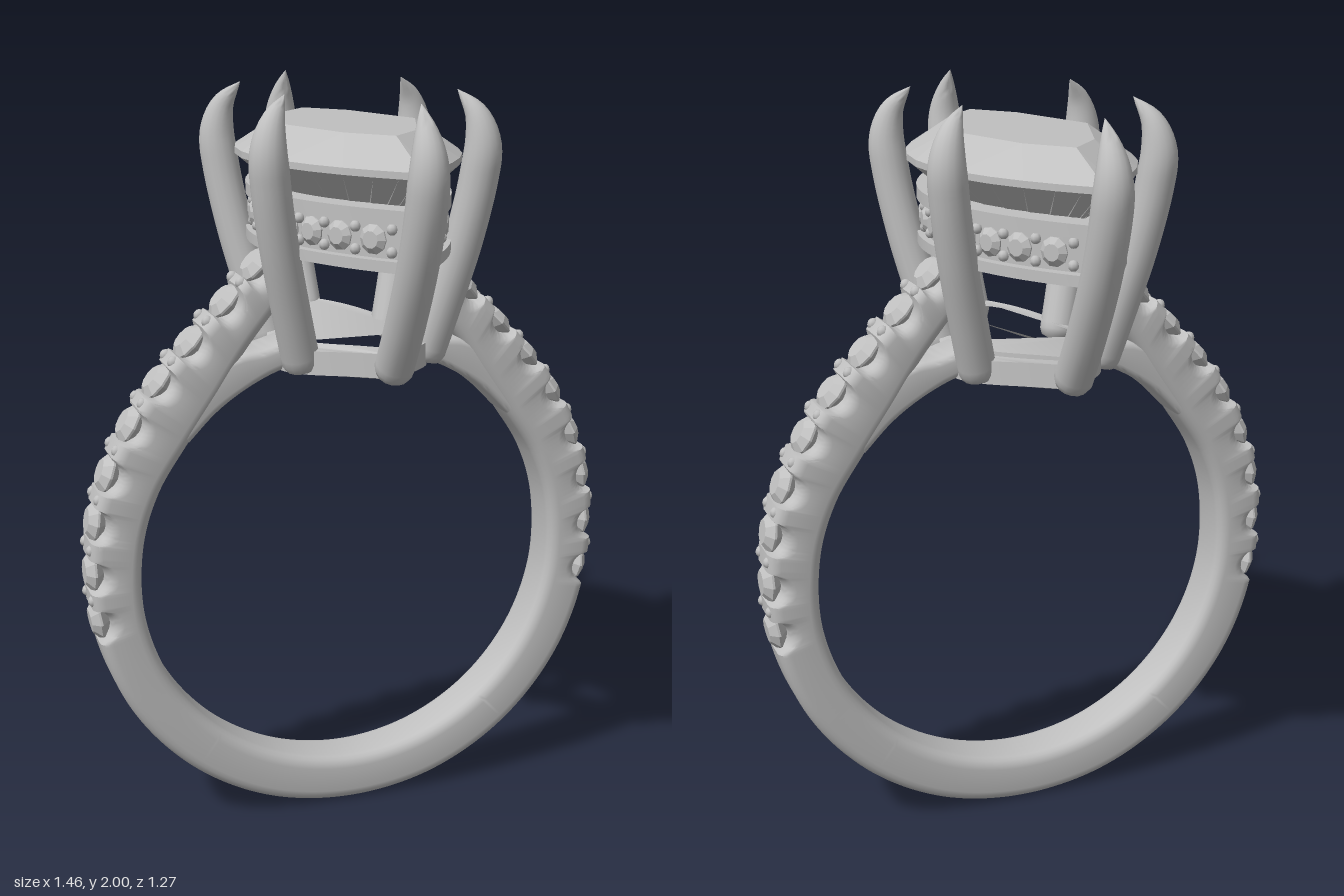
import * as THREE from 'three';
import { toCreasedNormals } from 'three/addons/utils/BufferGeometryUtils.js';

const V = (x, y, z = 0) => new THREE.Vector3(x, y, z);
const CY = 0.725, R_IN = 0.588; // finger hole

function fromTriangles(pos, idx, crease) {
  const g = new THREE.BufferGeometry();
  g.setAttribute('position', new THREE.Float32BufferAttribute(pos, 3));
  g.setIndex(idx);
  return toCreasedNormals(g, crease);
}

// Rounded-rectangle bar swept between an inner and an outer path, with scalloped stone seats
function sweepBar(inner, outer, halfWidth, corner, steps, seats = []) {
  const pos = [], idx = [], n = 20;
  for (let i = -1; i <= steps + 1; i++) {
    const t = Math.min(Math.max(i / steps, 0), 1);
    const shrink = i < 0 || i > steps ? 0 : 1;
    const p = inner.getPoint(t), q = outer.getPoint(t);
    const dir = q.clone().sub(p).normalize();
    let cut = 0;
    for (const s of seats) {
      const d = q.distanceTo(s);
      if (d < 0.046) cut = Math.max(cut, 0.9 * Math.sqrt(0.046 ** 2 - d * d));
    }
    q.addScaledVector(dir, -cut);
    const mid = p.clone().add(q).multiplyScalar(0.5), h = p.distanceTo(q) / 2;
    const r = Math.min(corner, h * 0.95);
    for (let j = 0; j < n; j++) {
      const c = Math.floor(j / 5), a = (c + (j % 5) / 4) * Math.PI / 2;
      const su = c === 0 || c === 3 ? 1 : -1, sz = c < 2 ? 1 : -1;
      const u = (su * (h - r) + r * Math.cos(a)) * shrink;
      const z = (sz * (halfWidth - r) + r * Math.sin(a)) * shrink;
      pos.push(mid.x + dir.x * u, mid.y + dir.y * u, z);
    }
  }
  for (let i = 0; i < steps + 2; i++) for (let j = 0; j < n; j++) {
    const a = i * n + j, b = i * n + (j + 1) % n;
    idx.push(a, a + n, b, b, a + n, b + n);
  }
  return fromTriangles(pos, idx, 0.6);
}

// Pointed-oval outline: t = 0 is the front tip
const marquise = (a, L, t) => [a * Math.sin(t) * Math.abs(Math.sin(t)), L * Math.cos(t)];

function marquiseBand(a, L, wa, wL, y, height) {
  const outline = (aa, LL) => Array.from({ length: 64 }, (_, i) =>
    new THREE.Vector2(...marquise(aa, LL, i / 64 * Math.PI * 2)));
  const shape = new THREE.Shape(outline(a, L));
  shape.holes.push(new THREE.Path(outline(a - wa, L - wL)));
  const g = new THREE.ExtrudeGeometry(shape, { depth: height, bevelEnabled: false });
  g.rotateX(-Math.PI / 2).translate(0, y, 0);
  return g;
}

// Tapered claw following a curve, closed at both ends
function clawGeometry(points) {
  const curve = new THREE.CatmullRomCurve3(points), rings = 44, sides = 16;
  const g = new THREE.TubeGeometry(curve, rings, 1, sides);
  const p = g.attributes.position, v = V(0, 0);
  for (let i = 0; i <= rings; i++) {
    const u = i / rings, c = curve.getPointAt(u), k = Math.max(0, (u - 0.72) / 0.28);
    const r = (i === 0 ? 0 : i === 1 ? 0.043 : 0.05) * (1 - k ** 2);
    for (let j = 0; j <= sides; j++) {
      const m = i * (sides + 1) + j;
      v.fromBufferAttribute(p, m).sub(c).multiplyScalar(r).add(c);
      p.setXYZ(m, v.x, v.y, v.z);
    }
  }
  return toCreasedNormals(g, 0.9);
}

// Large faceted stone: table, crown, girdle and keeled pavilion
function centreStoneGeometry() {
  const N = 32, pos = [], TAU = Math.PI * 2;
  const ring = (a, L, y, i, n) => {
    const [x, z] = marquise(a, L, i / n * TAU);
    return V(x, y, z);
  };
  const tri = (...p) => p.forEach(v => pos.push(v.x, v.y, v.z));
  const top = i => ring(0.28, 0.54, 1.842, i, N), low = i => ring(0.28, 0.54, 1.825, i, N);
  const table = k => ring(0.19, 0.37, 1.91, k, 8);
  const keel = i => V(0, 1.6, low(i).z * 0.35);
  for (let k = 0; k < 8; k++) {
    tri(V(0, 1.91, 0), table(k), table(k + 1));
    tri(table(k), top(4 * k + 2), table(k + 1));
    for (let m = -2; m < 2; m++) tri(top(4 * k + m), top(4 * k + m + 1), table(k));
  }
  for (let i = 0; i < N; i++) {
    tri(low(i), low(i + 1), top(i));
    tri(low(i + 1), top(i + 1), top(i));
    tri(low(i + 1), low(i), keel(i));
    tri(low(i + 1), keel(i), keel(i + 1));
  }
  const g = new THREE.BufferGeometry();
  g.setAttribute('position', new THREE.Float32BufferAttribute(pos, 3));
  g.computeVertexNormals();
  return g;
}

function smallStoneGeometry(r) {
  const profile = [[0, -0.85], [1, -0.1], [1, 0], [0.58, 0.35], [0, 0.35]];
  return toCreasedNormals(new THREE.LatheGeometry(
    profile.map(([x, y]) => new THREE.Vector2(x * r, y * r)), 10), 0.1);
}

export function createModel() {
  const model = new THREE.Group();
  const silver = new THREE.MeshStandardMaterial({ color: 0xc0c0c0 });
  const add = (name, geo, parent = model) => {
    const m = new THREE.Mesh(geo, silver);
    m.name = name;
    parent.add(m);
    return m;
  };
  const group = name => {
    const g = new THREE.Group();
    g.name = name;
    model.add(g);
    return g;
  };
  const polar = (deg, r) => V(r * Math.cos(deg * Math.PI / 180), CY + r * Math.sin(deg * Math.PI / 180));
  const flip = pts => pts.map(p => V(-p.x, p.y, p.z)).reverse();
  const spline = pts => new THREE.CatmullRomCurve3(pts);

  // Shank with rising shoulders
  const low = [-70, -50, -30, -10];
  const inR = [...low.map(d => polar(d, R_IN)), polar(10, R_IN), polar(25, R_IN), polar(40, R_IN),
    V(0.37, 1.22), V(0.29, 1.34), V(0.16, 1.5)];
  const outR = [...low.map(d => polar(d, 0.722)), V(0.718, 0.87), V(0.675, 1.03), V(0.585, 1.2),
    V(0.475, 1.335), V(0.36, 1.455), V(0.215, 1.61)];
  const inner = spline([...flip(inR), polar(-90, R_IN), ...inR]);
  const outer = spline([...flip(outR), polar(-90, 0.72), ...outR]);

  // Stone seats along both shoulders
  const seats = [];
  for (const y of [0.62, 0.76, 0.9, 1.03, 1.16, 1.27, 1.37, 1.47, 1.56]) {
    let t = 0.6;
    while (t < 1 && outer.getPoint(t).y < y) t += 0.0005;
    const p = outer.getPoint(t), tan = outer.getTangent(t);
    for (const s of [1, -1]) seats.push({ p: V(s * p.x, p.y), n: V(s * tan.y, -tan.x) });
  }
  add('shank', sweepBar(inner, outer, 0.075, 0.032, 640, seats.map(s => s.p)));

  const shankStones = group('shankStones'), stone = smallStoneGeometry(0.058);
  const beads = group('shankBeads'), bead = new THREE.SphereGeometry(0.016, 8, 6);
  const up = V(0, 1, 0);
  seats.forEach(({ p, n }, i) => {
    const m = add('shankStone', stone, shankStones);
    m.position.copy(p).addScaledVector(n, -0.014);
    m.quaternion.setFromUnitVectors(up, n);
    if (i + 2 >= seats.length) return;
    const mid = p.clone().add(seats[i + 2].p).multiplyScalar(0.5).addScaledVector(n, -0.004);
    for (const z of [-0.042, 0.042]) add('shankBead', bead, beads).position.set(mid.x, mid.y, z);
  });

  // Lower arms running along the finger hole to the base rail
  const armIn = [40, 50, 58, 66, 72].map(d => polar(d, R_IN));
  const armOut = [V(0.5, 1.2), V(0.42, 1.27), V(0.315, 1.325), V(0.25, 1.335), V(0.18, 1.355)];
  add('leftLowerArm', sweepBar(spline(armIn), spline(armOut), 0.07, 0.02, 24));
  add('rightLowerArm', sweepBar(spline(flip(armIn)), spline(flip(armOut)), 0.07, 0.02, 24));

  // Base rail, bent over the finger hole
  const base = marquiseBand(0.205, 0.38, 0.05, 0.09, 1.313, 0.062);
  const bp = base.attributes.position;
  for (let i = 0; i < bp.count; i++)
    bp.setY(i, bp.getY(i) + Math.sqrt(R_IN ** 2 - bp.getX(i) ** 2) - R_IN);
  add('baseRail', toCreasedNormals(base, 0.6));

  // Gallery: two rails and a recessed band set with small stones
  const A = 0.25, L = 0.53;
  add('lowerGalleryRail', toCreasedNormals(marquiseBand(A, L, 0.06, 0.12, 1.6, 0.028), 0.6));
  add('upperGalleryRail', toCreasedNormals(marquiseBand(A, L, 0.06, 0.12, 1.717, 0.033), 0.6));
  add('galleryBand', toCreasedNormals(marquiseBand(A - 0.022, L - 0.045, 0.04, 0.08, 1.61, 0.12), 0.6));
  const galleryStones = group('galleryStones');
  const gStone = smallStoneGeometry(0.037), gBead = new THREE.SphereGeometry(0.014, 8, 6);
  for (const s of [1, -1]) for (let k = -11; k <= 11; k++) {
    const z = k * 0.041, a = A - 0.018, l = L - 0.035;
    const x = s * a * (1 - (z / l) ** 2);
    const n = V(s, 0, 2 * a * z / (l * l)).normalize();
    if (k % 2 === 0) {
      const m = add('galleryStone', gStone, galleryStones);
      m.position.set(x, 1.673, z);
      m.quaternion.setFromUnitVectors(up, n);
    } else for (const y of [1.645, 1.7]) add('galleryBead', gBead, galleryStones).position.set(x, y, z);
  }

  // Centre stone
  add('centreStone', centreStoneGeometry());

  // Six claws: one at each tip, two along each side
  const claws = group('claws');
  const tip = [[0.35, 1.31], [0.44, 1.46], [0.525, 1.63], [0.575, 1.78], [0.585, 1.87], [0.565, 1.94], [0.53, 2]];
  const side = [[0.165, 1.29, 0.14], [0.205, 1.45, 0.175], [0.245, 1.62, 0.21], [0.273, 1.78, 0.235],
    [0.28, 1.87, 0.242], [0.265, 1.94, 0.232], [0.225, 2, 0.2]];
  for (const sz of [1, -1]) {
    add('tipClaw', clawGeometry(tip.map(([z, y]) => V(0, y, sz * z))), claws);
    for (const sx of [1, -1])
      add('sideClaw', clawGeometry(side.map(([x, y, z]) => V(sx * x, y, sz * z))), claws);
  }
  return model;
}
